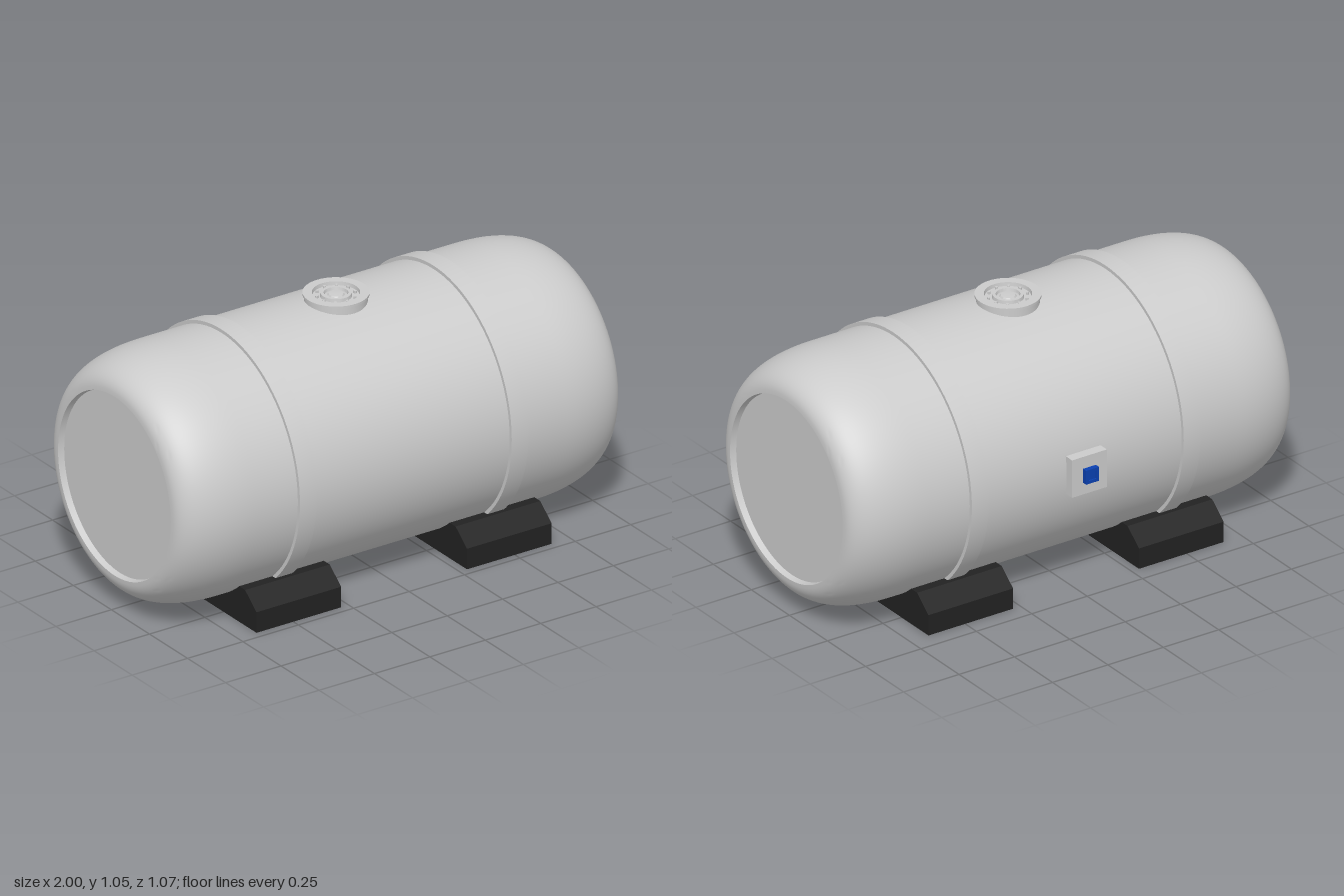
import * as THREE from 'three';
import { toCreasedNormals } from 'three/addons/utils/BufferGeometryUtils.js';

const CY = 0.52, CZ = 0.02, R = 0.5; // tank axis height, depth and radius

const grey = new THREE.MeshStandardMaterial({ color: 0xcccccc });
const black = new THREE.MeshStandardMaterial({ color: 0x222222 });
const blue = new THREE.MeshStandardMaterial({ color: 0x0a40b0 });

function add(parent, name, geometry, material, x, y, z) {
  const mesh = new THREE.Mesh(geometry, material);
  mesh.name = name;
  mesh.position.set(x, y, z);
  parent.add(mesh);
  return mesh;
}

function lathe(points, segments) {
  const geometry = new THREE.LatheGeometry(points.map(([r, y]) => new THREE.Vector2(r, y)), segments);
  return toCreasedNormals(geometry, 0.45);
}

// Barrel with rounded shoulders and shallow recessed ends
function tankGeometry() {
  const half = [[0, 0.975], [0.366, 0.975], [0.37, 1]];
  const steps = 20, power = 2 / 2.3;
  for (let i = 1; i <= steps; i++) {
    const t = (i / steps) * Math.PI / 2;
    const c = Math.max(0, Math.cos(t));
    half.push([0.37 + (R - 0.37) * Math.sin(t) ** power, 0.7 + 0.3 * c ** power]);
  }
  const lower = half.map(([r, y]) => [r, -y]);
  return lathe([...lower, ...half.reverse()], 96).rotateZ(-Math.PI / 2);
}

// Saddle block with chamfered shoulders and a cradle cut to the barrel
function saddleGeometry(width) {
  const top = 0.147, a = Math.asin((CY - top) / R);
  const shape = new THREE.Shape();
  shape.moveTo(-0.447, 0);
  shape.lineTo(0.447, 0);
  shape.lineTo(0.447, 0.085);
  shape.lineTo(0.372, top);
  shape.absarc(0, CY, R, -a, -Math.PI + a, true);
  shape.lineTo(-0.372, top);
  shape.lineTo(-0.447, 0.085);
  shape.closePath();
  const geometry = new THREE.ExtrudeGeometry(shape, { depth: width, bevelEnabled: false, curveSegments: 40 });
  geometry.translate(0, 0, -width / 2).rotateY(Math.PI / 2);
  return toCreasedNormals(geometry, 0.3);
}

// Square frame with a window
function frameGeometry(w, h, inner, depth) {
  const rect = (s, a, b) => s.moveTo(-a, -b).lineTo(a, -b).lineTo(a, b).lineTo(-a, b).closePath();
  const shape = new THREE.Shape();
  rect(shape, w / 2, h / 2);
  const hole = new THREE.Path();
  rect(hole, w / 2 - inner, h / 2 - inner);
  shape.holes.push(hole);
  return new THREE.ExtrudeGeometry(shape, { depth, bevelEnabled: false });
}

export function createModel() {
  const model = new THREE.Group();
  model.name = 'storageTank';

  add(model, 'tank', tankGeometry(), grey, 0, CY, CZ);

  // Straps and saddles
  const strap = lathe([[0.495, -0.038], [0.514, -0.038], [0.514, 0.038], [0.495, 0.038]], 96)
    .rotateZ(-Math.PI / 2);
  const saddle = saddleGeometry(0.382);
  for (const [side, s] of [['left', 1], ['right', -1]]) {
    add(model, side + 'Strap', strap, grey, s * 0.478, CY, CZ);
    add(model, side + 'Saddle', saddle, black, s * 0.475, 0, CZ);
  }

  // Round hatch on top: neck, flange, recessed ring and centre cap
  const hatch = new THREE.Group();
  hatch.name = 'hatch';
  hatch.position.set(0, 0, CZ);
  model.add(hatch);
  add(hatch, 'hatchBody', lathe([
    [0.119, 0.98], [0.119, 1.037], [0.125, 1.038], [0.125, 1.047], [0.09, 1.047], [0.088, 1.032],
    [0.06, 1.032], [0.058, 1.045], [0.046, 1.045], [0.043, 1.034], [0.032, 1.036], [0.028, 1.042], [0, 1.044],
  ], 48), grey, 0, 0, 0);
  const bolt = new THREE.CylinderGeometry(0.006, 0.006, 0.012, 8);
  for (let i = 0; i < 10; i++) {
    const a = (i + 0.5) / 10 * Math.PI * 2;
    add(hatch, 'hatchBolt', bolt, grey, 0.075 * Math.cos(a), 1.036, 0.075 * Math.sin(a));
  }

  // Gauge on the back: mounting plate with a framed blue window
  const gauge = new THREE.Group();
  gauge.name = 'gauge';
  gauge.position.y = CY;
  model.add(gauge);
  add(gauge, 'gaugePlate', new THREE.BoxGeometry(0.157, 0.157, 0.055), grey, 0, 0, -0.4875);
  add(gauge, 'gaugeFrame', frameGeometry(0.058, 0.058, 0.012, 0.024), blue, 0, 0, -0.536);
  add(gauge, 'gaugeWindow', new THREE.BoxGeometry(0.036, 0.036, 0.016), blue, 0, 0, -0.522);

  return model;
}
